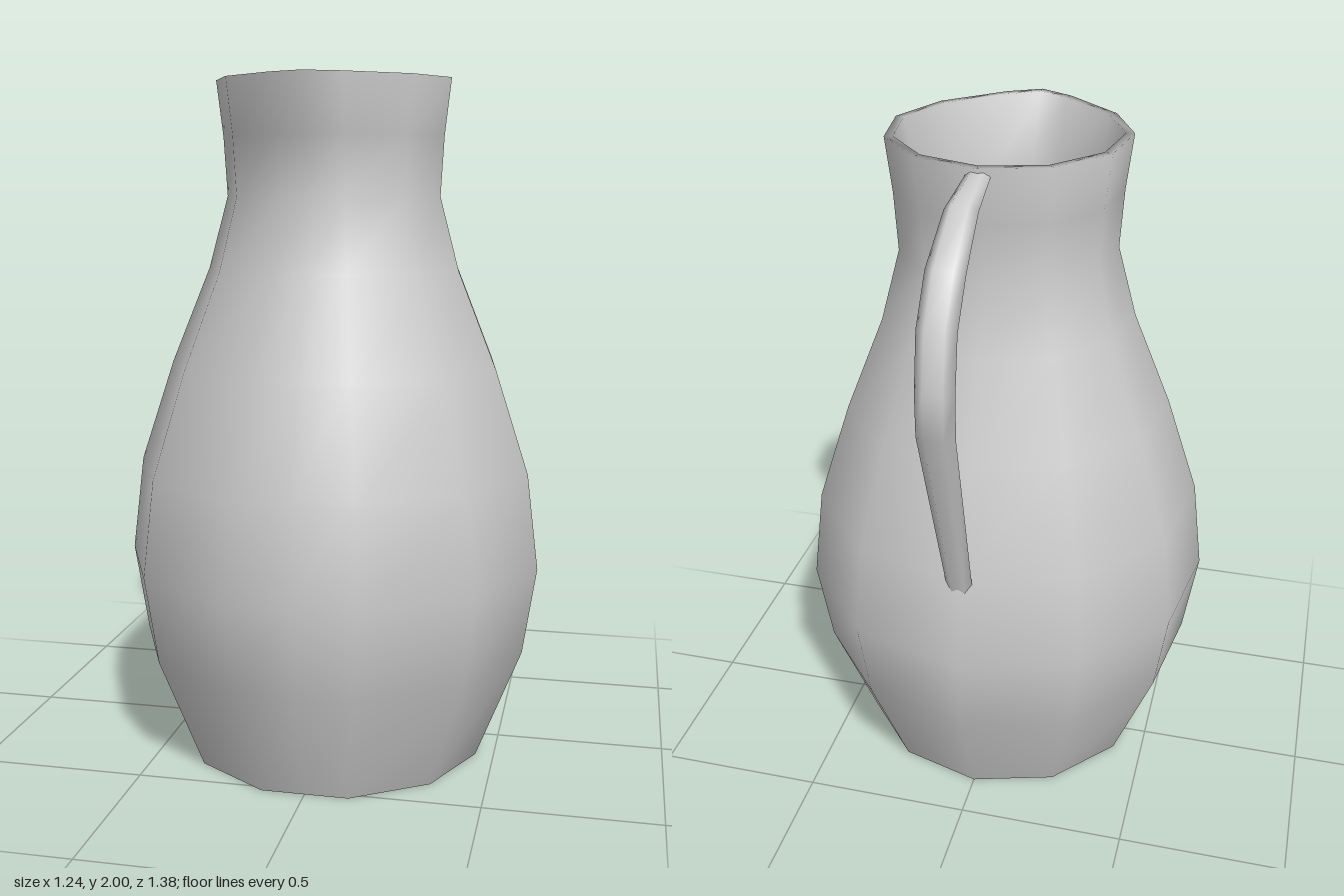
import * as THREE from 'three';

const SIDES = 11;
const CENTRE_Z = 0.09;

// Skin a list of equally sized closed rings of [x, y, z] points.
function loft(rings) {
  const n = rings[0].length;
  const index = [];
  for (let r = 0; r < rings.length - 1; r++) {
    for (let i = 0; i < n; i++) {
      const j = (i + 1) % n;
      const a = r * n + i, b = r * n + j;
      index.push(a, b, b + n, a, b + n, a + n);
    }
  }
  const geometry = new THREE.BufferGeometry();
  geometry.setAttribute('position', new THREE.Float32BufferAttribute(rings.flat(2), 3));
  geometry.setIndex(index);
  geometry.computeVertexNormals();
  return geometry;
}

// Eleven-sided ring plus a point in the middle of its front edge, pulled out for the spout.
function jugRing([radius, y, spout = 0]) {
  const ring = [[0, y, CENTRE_Z + radius * Math.cos(Math.PI / SIDES) + spout]];
  for (let i = 0; i < SIDES; i++) {
    const a = (2 * i + 1) * Math.PI / SIDES;
    const pull = i === 0 || i === SIDES - 1 ? spout * 0.45 : 0;
    ring.push([radius * Math.sin(a), y, CENTRE_Z + radius * Math.cos(a) + pull]);
  }
  return ring;
}

// Flattened six-sided handle section between an outer and an inner edge point.
function handleRing([zo, yo, zi, yi, width]) {
  const ring = [];
  for (let i = 0; i < 6; i++) {
    const a = i * Math.PI / 3;
    const t = 0.5 + 0.5 * Math.sin(a) / Math.sin(Math.PI / 3);
    ring.push([-width * Math.cos(a), yi + (yo - yi) * t, zi + (zo - zi) * t]);
  }
  return ring;
}

export function createModel() {
  const group = new THREE.Group();
  const material = new THREE.MeshStandardMaterial({ color: 0xcccccc, side: THREE.DoubleSide });
  const add = (name, geometry) => {
    const mesh = new THREE.Mesh(geometry, material);
    mesh.name = name;
    group.add(mesh);
  };

  // Radius, height and spout reach: up the outside, over the rim, down the inside
  const profile = [
    [0.45, 0], [0.585, 0.34], [0.625, 0.6], [0.59, 0.88], [0.49, 1.18],
    [0.375, 1.46], [0.318, 1.67], [0.328, 1.84, 0.035], [0.347, 2, 0.095],
    [0.322, 2, 0.085], [0.296, 1.84, 0.03], [0.28, 1.67], [0.337, 1.46],
    [0.45, 1.18], [0.55, 0.88], [0.585, 0.6], [0.545, 0.34], [0.41, 0.04], [0, 0.04],
  ];
  add('jugBody', loft(profile.map(jugRing)));

  // Flat underside
  add('base', loft([[0, 0], [0.45, 0]].map(jugRing)));

  // Handle: outer z, outer y, inner z, inner y, half width
  const handle = [
    [-0.24, 1.99, -0.24, 1.965, 0.034], [-0.41, 1.96, -0.4, 1.922, 0.045],
    [-0.57, 1.85, -0.535, 1.828, 0.053], [-0.66, 1.725, -0.62, 1.71, 0.053],
    [-0.69, 1.565, -0.65, 1.55, 0.053], [-0.69, 1.44, -0.65, 1.43, 0.053],
    [-0.495, 0.83, -0.475, 0.88, 0.038],
  ];
  add('handle', loft(handle.map(handleRing)));

  return group;
}
